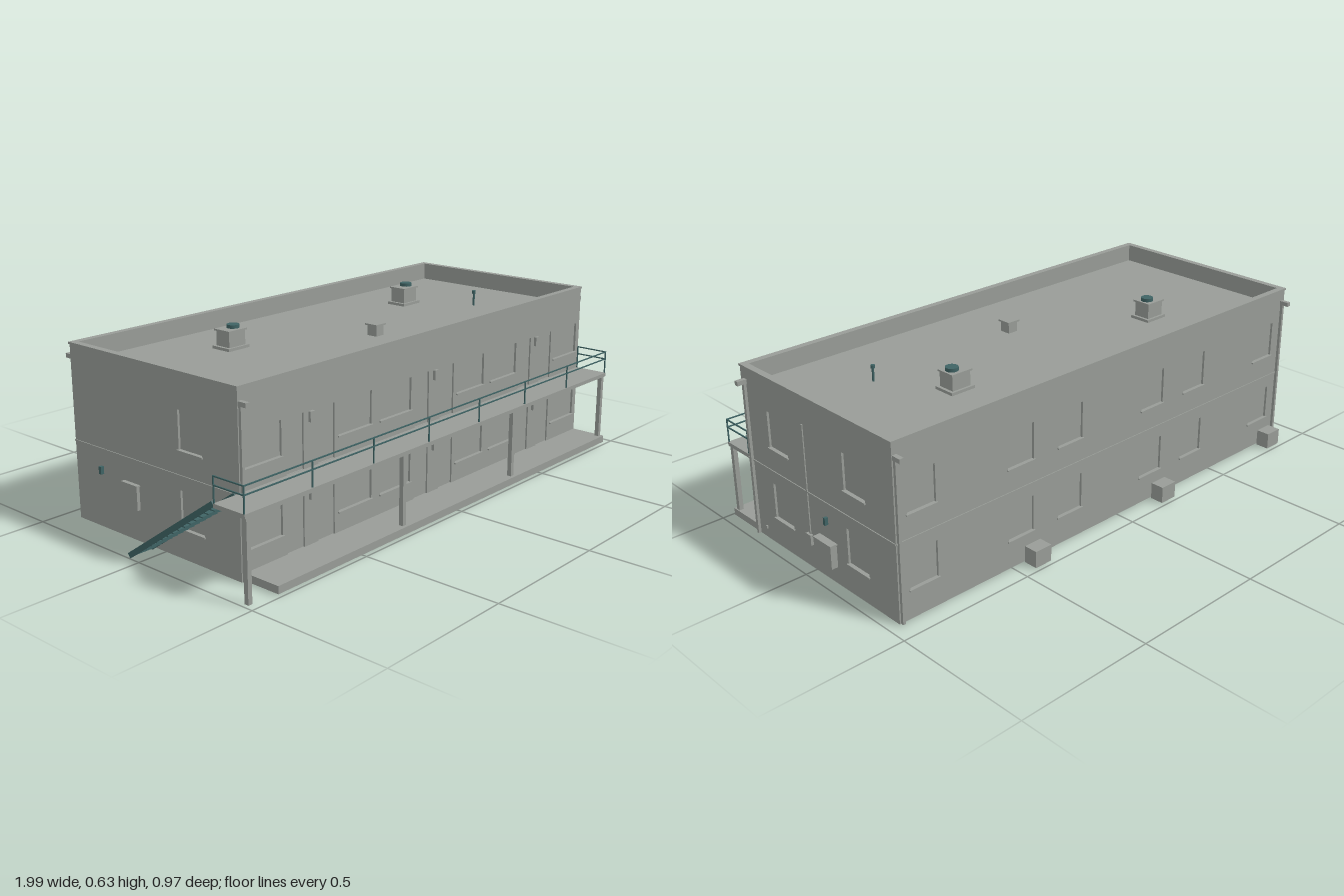
import * as THREE from 'three';

const grey = new THREE.MeshStandardMaterial({ color: 0x989c97, side: THREE.DoubleSide });
grey.name = 'concrete grey';
const teal = new THREE.MeshStandardMaterial({ color: 0x3f6364 });
teal.name = 'dark teal metal';

const X0 = -0.895, X1 = 0.96, Z0 = -0.43, Z1 = 0.35, T = 0.02, TOP = 0.603, ROOF = 0.545;

function add(parent, name, geo, mat = grey) {
  const m = new THREE.Mesh(geo, mat);
  m.name = name;
  parent.add(m);
  return m;
}

// Box given by its two opposite corners
function box(parent, name, x0, x1, y0, y1, z0, z1, mat = grey) {
  const m = add(parent, name, new THREE.BoxGeometry(x1 - x0, y1 - y0, z1 - z0), mat);
  m.position.set((x0 + x1) / 2, (y0 + y1) / 2, (z0 + z1) / 2);
  return m;
}

function rect(target, x0, x1, y0, y1) {
  target.moveTo(x0, y0);
  target.lineTo(x1, y0);
  target.lineTo(x1, y1);
  target.lineTo(x0, y1);
  target.closePath();
  return target;
}

// Wall with real openings; its outer face is local z = 0
function wall(parent, name, u0, u1, windows, doors = []) {
  const g = new THREE.Group();
  g.name = name;
  parent.add(g);
  const shape = rect(new THREE.Shape(), u0, u1, 0, TOP);
  for (const [a, b, c, d] of [...windows, ...doors]) shape.holes.push(rect(new THREE.Path(), a, b, c, d));
  const geo = new THREE.ExtrudeGeometry(shape, { depth: T, bevelEnabled: false });
  geo.translate(0, 0, -T);
  add(g, name + 'Panel', geo);
  for (const [a, b, c, d] of windows) {
    box(g, 'windowPane', a, b, c, d, -0.012, -0.008);
    box(g, 'windowSill', a - 0.004, b + 0.004, c - 0.005, c, -0.008, 0.006);
  }
  for (const [a, b, c, d] of doors) box(g, 'door', a, b, c, d, -0.012, -0.006);
  return g;
}

// Rain pipe with an outlet at the top, on a wall's local frame
function drain(g, u) {
  box(g, 'downspout', u - 0.005, u + 0.005, 0, 0.555, 0, 0.01);
  box(g, 'roofOutlet', u - 0.008, u + 0.008, 0.55, 0.565, 0, 0.034);
}

function belt(g, u0, u1) {
  box(g, 'beltCourse', u0, u1, 0.272, 0.278, 0, 0.003);
}

function createWalls(model) {
  // Front: three bays, each with paired doors between two windows, on two floors
  const frontWindows = [], frontDoors = [], lamps = [];
  for (const c of [-0.59, 0.03, 0.65]) {
    for (const [base, sill, head] of [[0.026, 0.096, 0.214], [0.285, 0.353, 0.467]]) {
      for (const s of [-1, 1]) {
        const w = c + s * 0.208, d = c + s * 0.07;
        frontWindows.push([w - 0.08, w + 0.08, sill, head]);
        frontDoors.push([d - 0.038, d + 0.038, base, head]);
      }
      lamps.push([c, head - 0.035]);
    }
  }
  const front = wall(model, 'frontWall', X0, X1, frontWindows, frontDoors);
  front.position.z = Z1;
  for (const [x, y] of lamps) box(front, 'doorLamp', x - 0.01, x + 0.01, y, y + 0.034, 0, 0.01);
  drain(front, -0.886);

  // The other walls share the same window heights on both floors
  const rows = (centres, w) => centres.flatMap(u =>
    [[0.102, 0.228], [0.359, 0.487]].map(([a, b]) => [u - w / 2, u + w / 2, a, b]));

  const back = wall(model, 'backWall', -X1, -X0, rows([-0.86, -0.46, -0.24, 0.16, 0.38, 0.78], 0.11));
  back.rotation.y = Math.PI;
  back.position.z = Z0;
  belt(back, -X1, -X0);
  drain(back, -0.95);
  drain(back, 0.88);

  const left = wall(model, 'leftWall', -Z1 + T, -Z0 - T, rows([-0.162, 0.237], 0.105));
  left.rotation.y = Math.PI / 2;
  left.position.x = X1;
  belt(left, -Z1, -Z0);
  drain(left, -0.325);
  box(left, 'conduit', -0.018, -0.012, 0.125, 0.51, 0, 0.004);
  box(left, 'meterBox', -0.03, -0.003, 0.088, 0.125, 0, 0.01);
  box(left, 'utilityCabinet', 0.04, 0.125, 0.063, 0.143, 0, 0.024);
  box(left, 'cabinetLid', 0.036, 0.129, 0.143, 0.148, 0, 0.027);
  box(left, 'wallLamp', 0.078, 0.088, 0.2, 0.226, 0, 0.012, teal);
  box(left, 'tap', -0.278, -0.272, 0.036, 0.046, 0, 0.006);

  const right = wall(model, 'rightWall', Z0 + T, Z1 - T, rows([0.14], 0.105));
  right.rotation.y = -Math.PI / 2;
  right.position.x = X0;
  belt(right, Z0, Z1);
  box(right, 'ventCabinet', -0.18, -0.11, 0.11, 0.19, 0, 0.012);
  box(right, 'ventLid', -0.184, -0.106, 0.19, 0.195, 0, 0.015);
  box(right, 'wallLamp', -0.3, -0.288, 0.19, 0.216, 0, 0.012, teal);
}

function createRoof(model) {
  const roof = new THREE.Group();
  roof.name = 'roof';
  model.add(roof);
  box(roof, 'roofDeck', X0 + T, X1 - T, ROOF - 0.01, ROOF, Z0 + T, Z1 - T);
  // Parapet coping
  const o = 0.003, w = 0.024;
  for (const z of [Z0 - o, Z1 + o - w]) box(roof, 'coping', X0 - o, X1 + o, TOP, 0.61, z, z + w);
  for (const x of [X0 - o, X1 + o - w]) box(roof, 'coping', x, x + w, TOP, 0.61, Z0 - o + w, Z1 + o - w);
  // Two large ventilators with round hats
  for (const [x, hat] of [[-0.43, -0.418], [0.497, 0.51]]) {
    box(roof, 'ventBase', x - 0.048, x + 0.048, ROOF, 0.555, -0.206, -0.126);
    box(roof, 'ventBox', x - 0.037, x + 0.037, 0.555, 0.607, -0.197, -0.135);
    box(roof, 'ventCap', x - 0.042, x + 0.042, 0.607, 0.613, -0.202, -0.13);
    const h = add(roof, 'ventHat', new THREE.CylinderGeometry(0.022, 0.022, 0.012, 16), teal);
    h.position.set(hat, 0.619, -0.167);
  }
  // Small vent and pipe
  box(roof, 'smallVent', 0.01, 0.05, ROOF, 0.582, 0.065, 0.105);
  box(roof, 'smallVentCap', 0.004, 0.056, 0.582, 0.588, 0.059, 0.111);
  const pipe = add(roof, 'ventPipe', new THREE.CylinderGeometry(0.004, 0.004, 0.05, 8), teal);
  pipe.position.set(0.65, ROOF + 0.025, 0.06);
  const tip = add(roof, 'ventPipeCap', new THREE.CylinderGeometry(0.007, 0.007, 0.012, 8), teal);
  tip.position.set(0.65, ROOF + 0.052, 0.06);
}

function createWalkway(model) {
  const walk = new THREE.Group();
  walk.name = 'walkway';
  model.add(walk);
  box(walk, 'groundSlab', -0.88, X1, 0, 0.026, Z1, 0.487);
  box(walk, 'upperSlab', -1, X1, 0.27, 0.284, Z1, 0.48);
  for (const x of [-0.982, -0.282, 0.338, 0.948])
    box(walk, 'supportPost', x - 0.008, x + 0.008, x < -0.9 ? 0 : 0.026, 0.27, 0.459, 0.475);
  // Railing
  const r = 0.002, zr = 0.476;
  for (let i = 0; i < 8; i++) {
    const x = -0.998 + i * 0.2794;
    box(walk, 'railPost', x - r, x + r, 0.284, 0.37, zr - r, zr + r, teal);
  }
  for (const y of [0.34, 0.368]) {
    box(walk, 'frontRail', -1, 0.96, y - r, y + r, zr - r, zr + r, teal);
    for (const x of [-0.998, 0.958]) box(walk, 'endRail', x - r, x + r, y - r, y + r, Z1 + 0.002, zr, teal);
  }
  for (const x of [-0.998, 0.958]) box(walk, 'endPost', x - r, x + r, 0.284, 0.37, Z1, Z1 + 0.004, teal);
}

function createStairs(model) {
  const stairs = new THREE.Group();
  stairs.name = 'stairs';
  model.add(stairs);
  const n = 15, za = -0.05, zb = 0.345, h = 0.277;
  for (let i = 0; i < n; i++) {
    const z = za + (zb - za) * i / n, y = h * (i + 1) / (n + 1);
    box(stairs, 'tread', -0.993, -0.91, y - 0.004, y, z, z + 0.029, teal);
  }
  // Stringers
  const length = Math.hypot(zb - za, h), angle = -Math.atan2(h, zb - za);
  for (const x of [-0.995, -0.908]) {
    const s = add(stairs, 'stringer', new THREE.BoxGeometry(0.005, 0.018, length), teal);
    s.position.set(x, h / 2 + 0.004, (za + zb) / 2);
    s.rotation.x = angle;
  }
}

export function createModel() {
  const model = new THREE.Group();
  model.name = 'apartmentBuilding';
  createWalls(model);
  createRoof(model);
  createWalkway(model);
  createStairs(model);
  // Air conditioners on the ground behind the building
  for (const x of [-0.82, -0.203, 0.415])
    box(model, 'airConditioner', x - 0.034, x + 0.034, 0, 0.06, -0.487, -0.436);
  return model;
}
